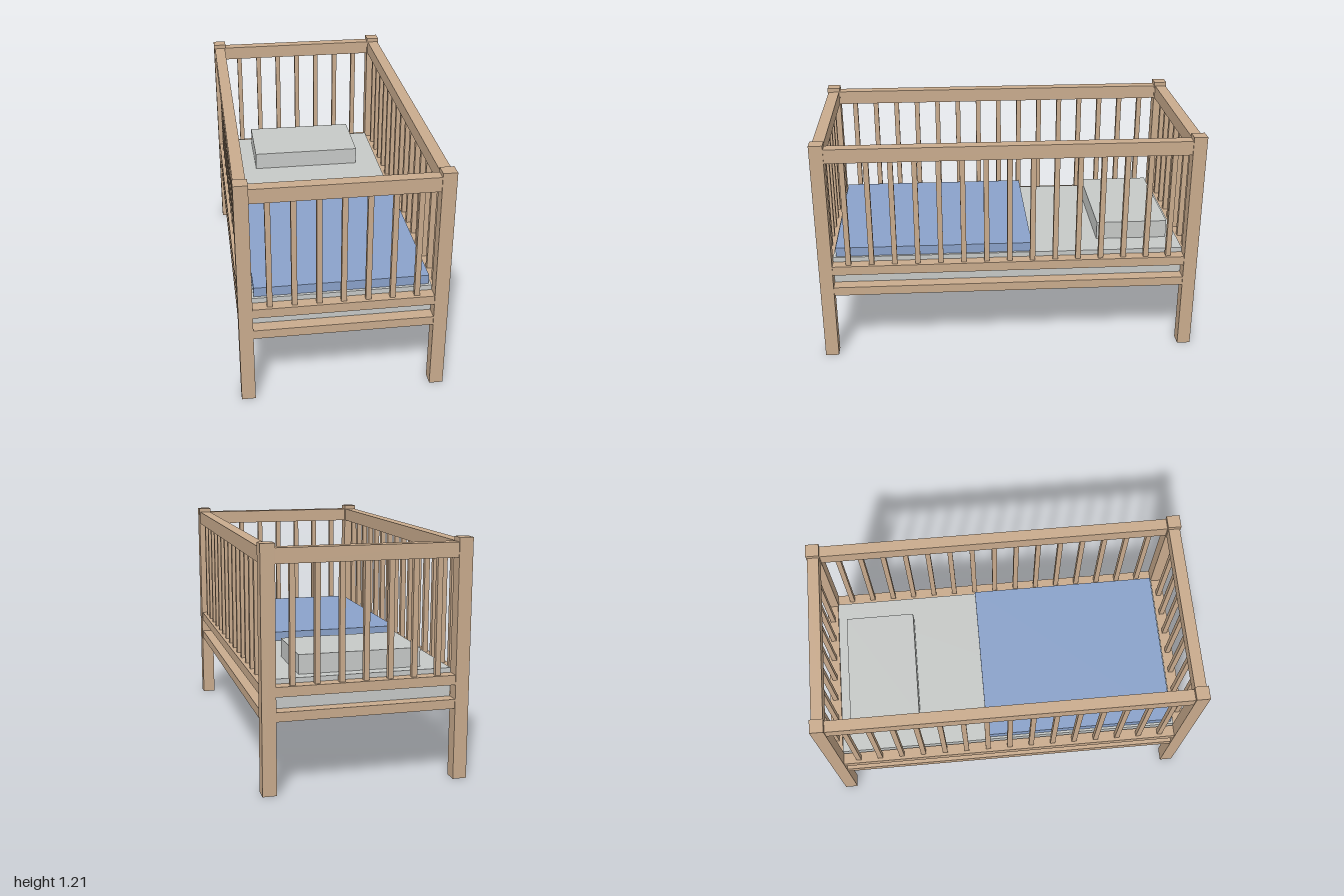
import * as THREE from 'three';

export function createModel() {
  const crib = new THREE.Group();
  crib.name = 'crib';

  const mat = (name, color) => {
    const m = new THREE.MeshStandardMaterial({ color });
    m.name = name;
    return m;
  };
  const wood = mat('wood', 0xc9ab8d);
  const linen = mat('linen', 0xc6c9c7);
  const blue = mat('blanketBlue', 0x8aa2ca);

  // Box given by its centre in x and z, its size, and its bottom and top
  const box = (name, material, x, z, width, depth, bottom, top) => {
    const mesh = new THREE.Mesh(new THREE.BoxGeometry(width, top - bottom, depth), material);
    mesh.position.set(x, (bottom + top) / 2, z);
    mesh.name = name;
    crib.add(mesh);
  };

  const postX = 0.483, postZ = 0.965, post = 0.07;
  const spanX = 2 * postX - post, spanZ = 2 * postZ - post;
  const railThick = 0.06, slat = 0.027, pitch = 0.121;

  // Corner posts
  for (const sx of [-1, 1])
    for (const sz of [-1, 1])
      box('cornerPost', wood, sx * postX, sz * postZ, post, post, 0, 1.206);

  // Rails and slats on all four sides
  const rails = [['topRail', 1.11, 1.184], ['lowerRail', 0.483, 0.532]];
  for (const s of [-1, 1]) {
    for (const [name, bottom, top] of rails) {
      box(name, wood, 0, s * postZ, spanX, railThick, bottom, top);
      box(name, wood, s * postX, 0, railThick, spanZ, bottom, top);
    }
    for (let i = -3; i <= 3; i++)
      box('endSlat', wood, i * pitch, s * postZ, slat, slat, 0.532, 1.11);
    for (let i = -7; i <= 7; i++)
      box('sideSlat', wood, s * postX, i * pitch, slat, slat, 0.532, 1.11);
  }

  // Base board and bedding
  box('baseBoard', wood, 0, 0, 1.026, 1.99, 0.363, 0.41);
  box('mattress', linen, 0, 0, 0.895, 1.86, 0.41, 0.555);
  box('blanket', blue, 0, 0.397, 0.87, 1.036, 0.555, 0.604);
  box('pillow', linen, 0, -0.679, 0.62, 0.382, 0.555, 0.652);

  return crib;
}
